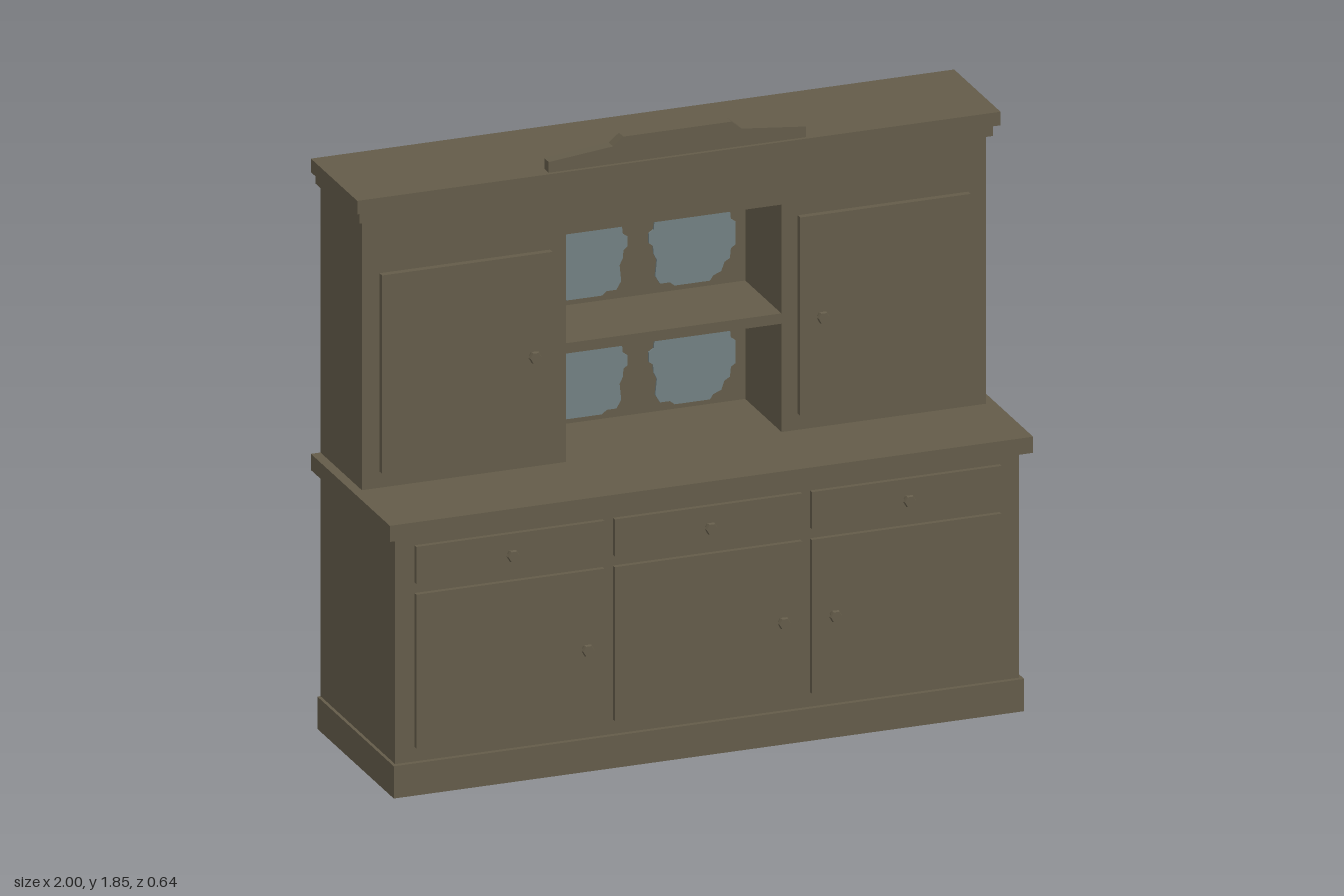
import * as THREE from 'three';

const wood = new THREE.MeshStandardMaterial({ color: 0x635b49, side: THREE.DoubleSide });
wood.name = 'darkWood';
const glaze = new THREE.MeshStandardMaterial({ color: 0x728082, side: THREE.DoubleSide });
glaze.name = 'paleBlueGlaze';

const BACK = -0.32;

export function createModel() {
  const model = new THREE.Group();
  model.name = 'dresser';

  const add = (name, geometry, material = wood) => {
    const mesh = new THREE.Mesh(geometry, material);
    mesh.name = name;
    model.add(mesh);
    return mesh;
  };
  // Box given by its limits on each axis
  const box = (name, x0, x1, y0, y1, z0, z1) => {
    const g = new THREE.BoxGeometry(x1 - x0, y1 - y0, z1 - z0);
    g.translate((x0 + x1) / 2, (y0 + y1) / 2, (z0 + z1) / 2);
    return add(name, g);
  };
  // Flat outline pushed out along z
  const slab = (name, points, z0, z1, material) => {
    const shape = new THREE.Shape(points.map(([x, y]) => new THREE.Vector2(x, y)));
    const g = new THREE.ExtrudeGeometry(shape, { depth: z1 - z0, bevelEnabled: false });
    return add(name, g.translate(0, 0, z0), material);
  };

  // Plinth: a hollow skirt, open underneath
  const plinth = box('plinth', -0.98, 0.98, 0, 0.1, BACK, 0.29);
  const index = Array.from(plinth.geometry.index.array);
  index.splice(18, 6); // remove the bottom face
  plinth.geometry.setIndex(index);
  plinth.geometry.clearGroups();

  // Lower cabinet and worktop
  box('lowerCabinet', -0.97, 0.97, 0.1, 0.805, BACK, 0.275);
  box('worktop', -1, 1, 0.805, 0.855, BACK, 0.31);

  // Faceted, flared knob
  const knobGeometry = new THREE.LatheGeometry([
    [0, 0], [0.01, 0], [0.01, 0.01], [0.02, 0.022], [0.017, 0.03], [0, 0.03],
  ].map(([r, h]) => new THREE.Vector2(r, h)), 6)
    .rotateY(Math.PI / 6).rotateX(Math.PI / 2).toNonIndexed();
  knobGeometry.computeVertexNormals();
  const knob = (name, x, y, z) => add(name, knobGeometry).position.set(x, y, z);

  // Three drawers over three doors
  [[-0.91, -0.325, -0.385], [-0.293, 0.29, 0.225], [0.32, 0.91, 0.385]].forEach(([x0, x1, knobX]) => {
    box('drawerFront', x0, x1, 0.655, 0.77, 0.275, 0.29);
    box('lowerDoor', x0, x1, 0.145, 0.622, 0.275, 0.29);
    knob('drawerKnob', (x0 + x1) / 2, 0.71, 0.29);
    knob('lowerDoorKnob', knobX, 0.385, 0.29);
  });

  // Upper cabinet with an open niche in the middle
  slab('upperCabinet', [
    [-0.97, 0.855], [-0.335, 0.855], [-0.335, 1.56], [0.335, 1.56],
    [0.335, 0.855], [0.97, 0.855], [0.97, 1.69], [-0.97, 1.69],
  ], -0.28, 0.01);
  box('backPanel', -0.97, 0.97, 0.855, 1.69, BACK, -0.28);
  box('nicheShelf', -0.335, 0.335, 1.19, 1.222, -0.28, 0.008);

  // Upper doors
  for (const s of [-1, 1]) {
    box('upperDoor', s * 0.65 - 0.265, s * 0.65 + 0.265, 0.905, 1.52, 0.01, 0.03);
    knob('upperDoorKnob', s * 0.448, 1.21, 0.03);
  }

  // Stepped cornice and crest
  box('corniceLower', -0.985, 0.985, 1.69, 1.728, BACK, 0.03);
  box('corniceUpper', -1, 1, 1.728, 1.77, BACK, 0.05);
  slab('crest', [
    [-0.4, 1.77], [0.4, 1.77], [0.4, 1.803], [0.2, 1.824],
    [0.168, 1.85], [-0.168, 1.85], [-0.2, 1.824], [-0.4, 1.803],
  ], 0.003, 0.038);

  // Scalloped plates against the back of the niche, mirrored left and right
  const plate = [
    [-0.045, 0.137], [0.045, 0.137], [0.055, 0.122], [0.085, 0.112], [0.1, 0.088], [0.117, 0.075],
    [0.12, 0.045], [0.135, 0.035], [0.135, 0.005], [0.122, -0.005], [0.12, -0.03], [0.11, -0.05],
    [0.115, -0.1], [0.1, -0.125], [0.07, -0.125], [0.055, -0.137], [-0.055, -0.137], [-0.065, -0.122],
    [-0.09, -0.112], [-0.1, -0.085], [-0.117, -0.075], [-0.12, -0.045], [-0.135, -0.035],
    [-0.135, 0.035], [-0.12, 0.045], [-0.117, 0.075], [-0.1, 0.088], [-0.085, 0.112], [-0.055, 0.122],
  ];
  for (const s of [-1, 1]) {
    for (const y of [1.008, 1.376]) {
      slab('plate', plate.map(([px, py]) => [s * (0.168 - px), y + py]), -0.28, -0.274, glaze);
    }
  }

  return model;
}
